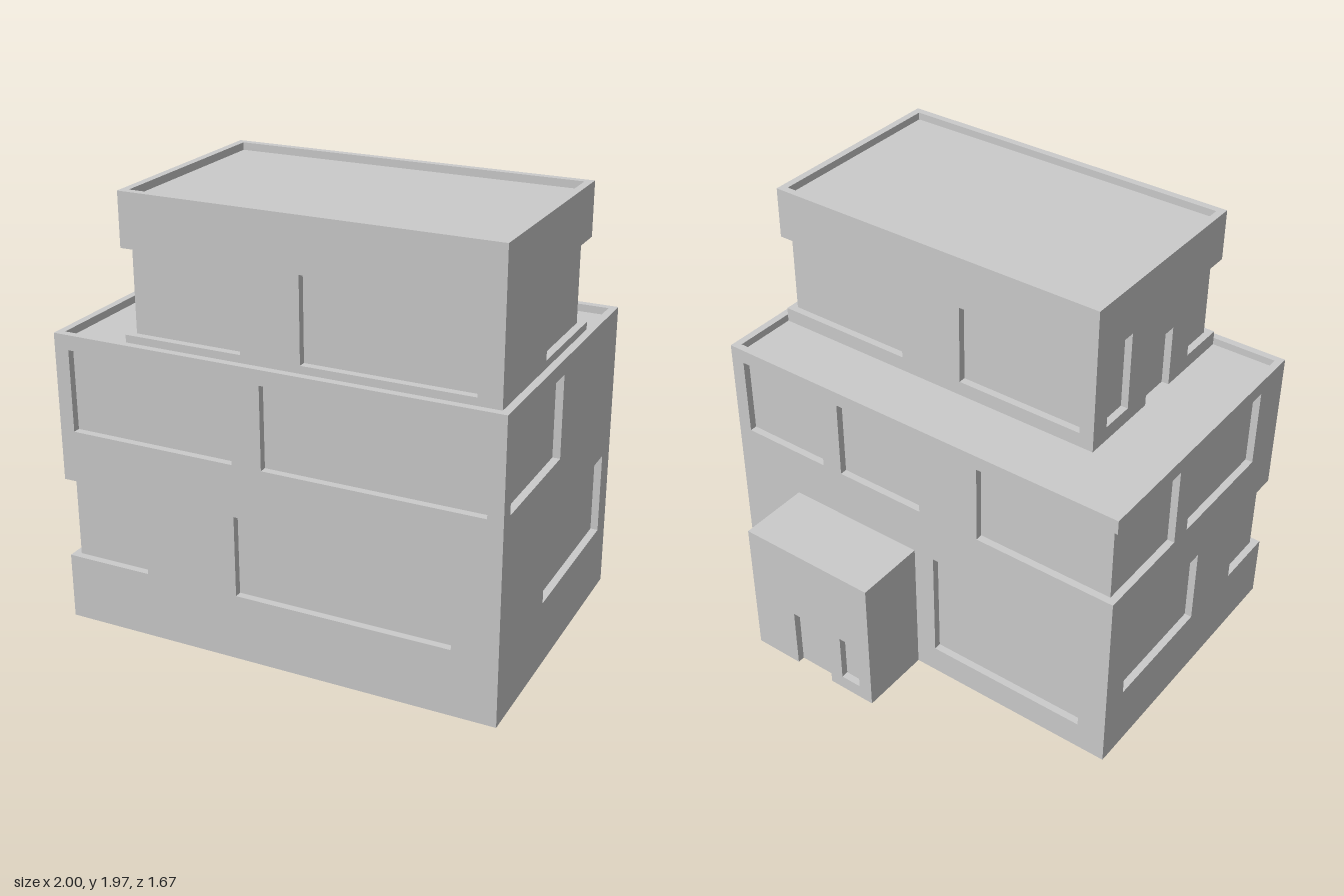
import * as THREE from 'three';

const D = 1 / 30; // wall thickness = window recess = parapet width
const material = new THREE.MeshStandardMaterial({ color: 0xcccccc, flatShading: true });

// Wall slab with openings [a, b, bottom, top]; an opening that reaches an edge becomes a notch in the outline
function wallGeometry(w0, w1, y0, y1, openings) {
  const near = (p, q) => Math.abs(p - q) < 1e-4;
  const bottom = [], right = [], left = [], holes = [];
  for (const [a0, b0, lo, hi] of openings) {
    const a = Math.max(a0, w0), b = Math.min(b0, w1);
    if (near(lo, y0)) bottom.push([a, lo], [a, hi], [b, hi], [b, lo]);
    else if (near(b, w1)) right.push([b, lo], [a, lo], [a, hi], [b, hi]);
    else if (near(a, w0)) left.push([a, hi], [b, hi], [b, lo], [a, lo]);
    else holes.push([[a, lo], [a, hi], [b, hi], [b, lo]]);
  }
  const toPoints = (list) => list.map(([x, y]) => new THREE.Vector2(x, y));
  const shape = new THREE.Shape(toPoints([
    [w0, y0], ...bottom, [w1, y0], ...right, [w1, y1], [w0, y1], ...left,
  ]));
  for (const h of holes) shape.holes.push(new THREE.Path(toPoints(h)));
  return new THREE.ExtrudeGeometry(shape, { depth: D, bevelEnabled: false });
}

function addMesh(group, name, geometry, x = 0, y = 0, z = 0, turn = 0) {
  const mesh = new THREE.Mesh(geometry, material);
  mesh.name = name;
  mesh.position.set(x, y, z);
  mesh.rotation.y = turn;
  group.add(mesh);
}

// One storey block: a recessed core (its top is the roof) wrapped by four walls
function block(name, { x: [x0, x1], y: [y0, y1], z: [z0, z1], roof, walls }) {
  const group = new THREE.Group();
  group.name = name;
  const zFront = walls.front ? z1 - D : z1;
  const zBack = z0 + D;
  addMesh(group, 'coreAndRoof',
    new THREE.BoxGeometry(x1 - x0 - 2 * D, roof - y0, zFront - zBack),
    (x0 + x1) / 2, (y0 + roof) / 2, (zFront + zBack) / 2);
  if (walls.front) addMesh(group, 'frontWall', wallGeometry(x0, x1, y0, y1, walls.front), 0, 0, zFront);
  addMesh(group, 'backWall', wallGeometry(x0, x1, y0, y1, walls.back), 0, 0, z0);
  addMesh(group, 'leftWall', wallGeometry(zBack, zFront, y0, y1, walls.left), x1, 0, 0, -Math.PI / 2);
  addMesh(group, 'rightWall', wallGeometry(zBack, zFront, y0, y1, walls.right), x0 + D, 0, 0, -Math.PI / 2);
  return group;
}

export function createModel() {
  const model = new THREE.Group();
  model.name = 'house';

  // Window heights of the three floors
  const F1 = [0.3, 0.667], F2 = [0.9, 1.267], F3 = [1.367, 1.733];
  const mainTop = 4 / 3, terrace = mainTop - D, top = 59 / 30;

  // Two lower floors with a parapet terrace
  model.add(block('lowerFloors', {
    x: [-1, 1], y: [0, mainTop], z: [-0.5, 2.5 / 3], roof: terrace,
    walls: {
      front: [[-1, -0.6, ...F1], [-0.167, 0.8, ...F1], [-0.933, -0.167, ...F2], [-0.033, 0.933, ...F2]],
      back: [[-0.867, -0.1, 0.133, 0.667], [-1, -0.333, ...F2], [-0.033, 0.4, ...F2], [0.5, 0.933, ...F2]],
      left: [[-0.4, 0.333, ...F1], [0.2, 0.767, ...F2]],
      right: [[-0.367, 0.2, ...F1], [0.533, 0.9, ...F1], [-0.5, -0.033, ...F2], [0.067, 0.633, ...F2]],
    },
  }));

  // Penthouse with a door to the terrace
  model.add(block('upperFloor', {
    x: [-2 / 3, 29 / 30], y: [terrace, top], z: [-1 / 6, 0.8], roof: top - D,
    walls: {
      front: [[-0.7, -0.133, ...F3], [0.133, 0.867, ...F3]],
      back: [[-0.6, 0, ...F3], [0.307, 1, ...F3]],
      left: [[-0.2, 0.333, ...F3]],
      right: [[-0.07, 0.09, ...F3], [0.233, 0.42, terrace, 1.587], [0.567, 0.9, ...F3]],
    },
  }));

  // Entrance annex at the back
  model.add(block('entranceAnnex', {
    x: [0, 2 / 3], y: [0, 2 / 3], z: [-2.5 / 3, -0.5], roof: 2 / 3,
    walls: {
      back: [[0.067, 0.167, 0.067, 0.3], [0.233, 0.433, 0, 0.3]],
      left: [[-0.8, -0.533, 0.133, 0.3]],
      right: [],
    },
  }));

  return model;
}
